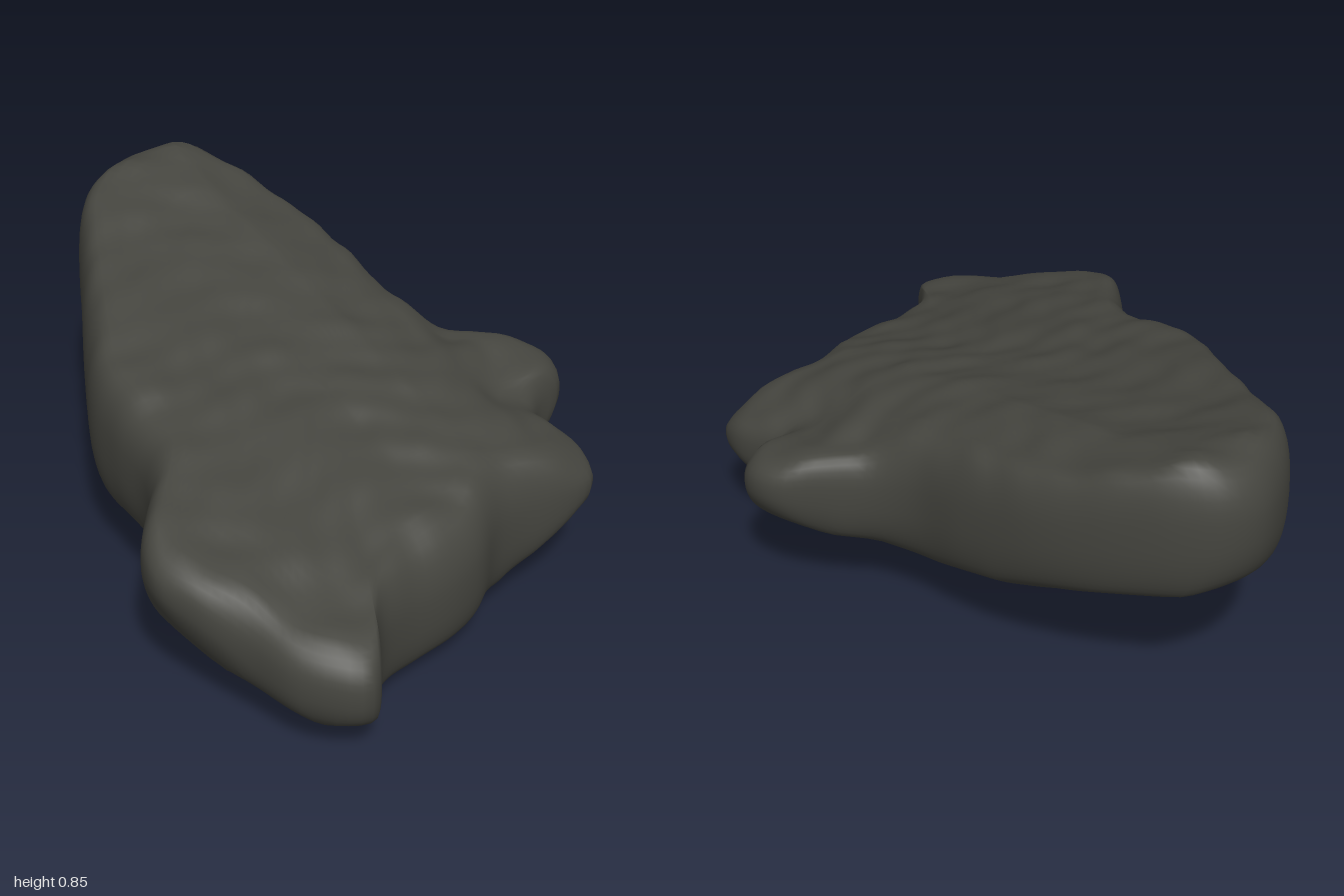
import * as THREE from 'three';
import { mergeVertices } from 'three/addons/utils/BufferGeometryUtils.js';

// Plan outline of the slab as [x, z]
const OUTLINE = [
  [-1, -0.1], [-0.98, -0.2], [-0.9, -0.29], [-0.75, -0.38], [-0.55, -0.45], [-0.3, -0.48],
  [-0.1, -0.49], [0.02, -0.55], [0.1, -0.64], [0.18, -0.73], [0.27, -0.75], [0.34, -0.72],
  [0.37, -0.62], [0.42, -0.575], [0.58, -0.59], [0.67, -0.56], [0.695, -0.48], [0.68, -0.3],
  [0.7, -0.2], [0.76, -0.1], [0.79, 0], [0.81, 0.18], [0.85, 0.29], [0.92, 0.36],
  [0.98, 0.4], [1, 0.45], [0.95, 0.52], [0.87, 0.58], [0.72, 0.63], [0.6, 0.7],
  [0.5, 0.74], [0.4, 0.725], [0.3, 0.66], [0.2, 0.58], [0.1, 0.54], [-0.05, 0.53],
  [-0.2, 0.51], [-0.35, 0.44], [-0.6, 0.3], [-0.85, 0.15], [-0.95, 0.03],
];

// Height profiles as [position, height]; the z profiles are added to the x profiles
const TOP_X = [[-1, 0.82], [-0.86, 0.855], [-0.6, 0.77], [-0.4, 0.73], [0, 0.64], [0.3, 0.57],
  [0.6, 0.485], [0.8, 0.415], [1, 0.37]];
const TOP_Z = [[-0.75, -0.08], [-0.55, -0.075], [-0.4, -0.03], [-0.2, 0], [0, -0.02], [0.2, -0.03],
  [0.4, -0.04], [0.5, -0.045], [0.75, -0.05]];
const BASE_X = [[-1, 0.49], [-0.9, 0.43], [-0.38, 0.18], [-0.13, 0.1], [0.33, 0], [0.65, 0.05],
  [0.78, 0.05], [0.88, 0.05], [1, 0.09]];
const BASE_Z = [[-0.75, 0.33], [-0.6, 0.22], [-0.5, 0.18], [-0.37, 0.09], [-0.25, 0.03],
  [0.15, 0], [0.5, 0.05], [0.62, 0.11], [0.7, 0.22], [0.75, 0.29]];

function profile(points, v) {
  for (let i = 1; i < points.length; i++) {
    const [a, ya] = points[i - 1], [b, yb] = points[i];
    if (v <= b) return THREE.MathUtils.lerp(ya, yb, THREE.MathUtils.clamp((v - a) / (b - a), 0, 1));
  }
  return points[points.length - 1][1];
}

const dent = (x, z, cx, cz, size) => Math.exp(-((x - cx) ** 2 + (z - cz) ** 2) / (size * size));

// Shallow, blotchy weathering with two hollows beside the back lobes
function weathering(x, z) {
  const u = x + 0.05 * Math.sin(9 * z + 1), v = z + 0.05 * Math.sin(8 * x);
  return 0.006 * Math.sin(19 * u + 9 * v) * Math.sin(15 * v - 8 * u + 1)
    + 0.004 * Math.sin(37 * u - 14 * v) * Math.sin(29 * v + 11 * u)
    - 0.03 * dent(x, z, 0.09, -0.5, 0.07) - 0.03 * dent(x, z, 0.36, -0.48, 0.09);
}

const topHeight = (x, z) => profile(TOP_X, x) + profile(TOP_Z, z) + weathering(x, z);

// Underside, chipped away along the front edge
const baseHeight = (x, z) => profile(BASE_X, x) + profile(BASE_Z, z) + 0.1 * dent(x, z, 0.07, 0.58, 0.3);

function buildSlab() {
  const N = 180, CX = 0.2, CZ = 0, TOP_ROUND = 0.12, BASE_ROUND = 0.08;
  const curve = new THREE.CatmullRomCurve3(OUTLINE.map(([x, z]) => new THREE.Vector3(x, 0, z)), true);
  const loop = curve.getSpacedPoints(N).slice(0, N);

  // Rings: top centre to rim, round the edge, rim to underside centre
  const rings = [];
  for (let k = 0; k < 26; k++) rings.push({ t: k / 26, angle: Math.PI / 2 });
  for (let k = 0; k <= 16; k++) rings.push({ t: 1, angle: Math.PI / 2 - (Math.PI * k) / 16 });
  for (let k = 13; k >= 0; k--) rings.push({ t: k / 14, angle: -Math.PI / 2 });

  const positions = [], index = [];
  rings.forEach(({ t, angle }, i) => {
    const round = angle >= 0 ? TOP_ROUND : BASE_ROUND;
    const inset = round * (1 - Math.max(0, Math.cos(angle)) ** 0.7);
    const rise = Math.abs(Math.sin(angle)) ** 0.85;
    loop.forEach((p, j) => {
      const r = Math.hypot(p.x - CX, p.z - CZ);
      const s = t * (1 - inset / r);
      const x = CX + (p.x - CX) * s, z = CZ + (p.z - CZ) * s;
      const middle = (topHeight(p.x, p.z) + baseHeight(p.x, p.z)) / 2;
      const limit = angle >= 0 ? topHeight(x, z) : baseHeight(x, z);
      positions.push(x, THREE.MathUtils.lerp(middle, limit, rise), z);
      if (i < rings.length - 1) {
        const a = i * N + j, c = i * N + ((j + 1) % N);
        index.push(a, c, a + N, c, c + N, a + N);
      }
    });
  });
  const geometry = new THREE.BufferGeometry();
  geometry.setAttribute('position', new THREE.Float32BufferAttribute(positions, 3));
  geometry.setIndex(index);
  const merged = mergeVertices(geometry, 1e-5);
  merged.computeVertexNormals();
  return merged;
}

export function createModel() {
  const stone = new THREE.MeshStandardMaterial({ color: 0x45453f });
  stone.name = 'dark stone';

  const slab = new THREE.Mesh(buildSlab(), stone);
  slab.name = 'rockSlab';

  const group = new THREE.Group();
  group.name = 'rock';
  group.add(slab);
  return group;
}
